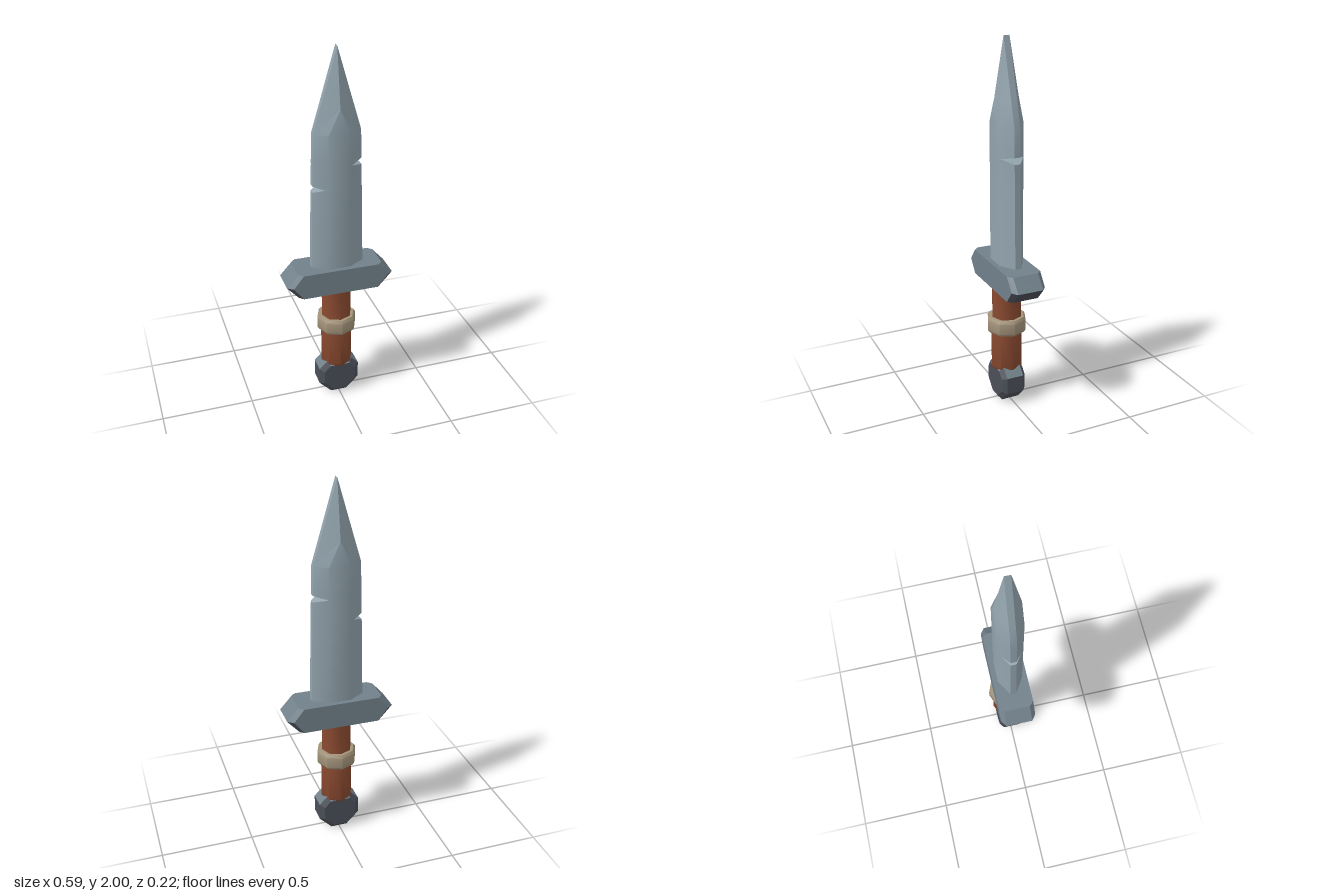
import * as THREE from 'three';
import { toCreasedNormals } from 'three/addons/utils/BufferGeometryUtils.js';

const paint = (name, color) => {
  const m = new THREE.MeshStandardMaterial({ color });
  m.name = name;
  return m;
};

// Skins a list of closed loops and caps both ends. Faces whose normal passes
// isSecond(normal) go to the second material group.
function loft(loops, isSecond = () => false, crease = 0.7) {
  const lists = [[], []];
  const tri = new THREE.Triangle();
  const normal = new THREE.Vector3();
  const add = (a, b, c) => {
    tri.set(a, b, c);
    if (tri.getArea() < 1e-8) return;
    tri.getNormal(normal);
    const list = lists[isSecond(normal) ? 1 : 0];
    for (const p of [a, b, c]) list.push(p.x, p.y, p.z);
  };
  const n = loops[0].length;
  for (let i = 0; i < loops.length - 1; i++) {
    for (let j = 0; j < n; j++) {
      const k = (j + 1) % n;
      const [a, b, c, d] = [loops[i][j], loops[i][k], loops[i + 1][k], loops[i + 1][j]];
      add(a, b, c);
      add(a, c, d);
    }
  }
  const first = loops[0], last = loops[loops.length - 1];
  for (let j = 1; j < n - 1; j++) {
    add(first[0], first[j + 1], first[j]);
    add(last[0], last[j], last[j + 1]);
  }
  const geo = new THREE.BufferGeometry();
  geo.setAttribute('position', new THREE.Float32BufferAttribute(lists.flat(), 3));
  const count = lists[0].length / 3;
  geo.addGroup(0, count, 0);
  geo.addGroup(count, lists[1].length / 3, 1);
  return toCreasedNormals(geo, crease);
}

// Outline in x and y given at several depths along z
const outlineAt = (points, z) => points.map(([x, y]) => new THREE.Vector3(x, y, z));

// Blade cross-section: flat middle, bevels and narrow edges; notches pull an edge inwards
function bladeLoop({ y, w, f = 0.06, t = 0.067, e = 0.016, left = w, right = w }) {
  const depth = (x) => (w > f ? t - ((x - f) / (w - f)) * (t - e) : t);
  const zl = depth(left), zr = depth(right);
  return [
    [f, t], [right, zr], [right, -zr], [f, -t],
    [-f, -t], [-left, -zl], [-left, zl], [-f, t],
  ].map(([x, z]) => new THREE.Vector3(x, y, z));
}

// Eight-sided turned part
const turned = (profile) => toCreasedNormals(
  new THREE.LatheGeometry(profile.map(([r, y]) => new THREE.Vector2(r, y)), 8), 0.82);

export function createModel() {
  const bladeSteel = paint('blade steel', 0x93a4ae);
  const guardSteel = paint('guard steel', 0x71808a);
  const darkIron = paint('dark iron', 0x4b4f58);
  const leather = paint('brown leather', 0x8a4a30);
  const band = paint('tan band', 0xa3937a);

  const model = new THREE.Group();
  model.name = 'dagger';
  const add = (name, geometry, material) => {
    const mesh = new THREE.Mesh(geometry, material);
    mesh.name = name;
    model.add(mesh);
  };

  // Blade with a chipped notch in each edge and a ridged point
  add('blade', loft([
    { y: 0.76, w: 0.144 },
    { y: 1.255, w: 0.133 },
    { y: 1.275, w: 0.132, left: 0.08 },
    { y: 1.29, w: 0.132 },
    { y: 1.38, w: 0.13 },
    { y: 1.4, w: 0.129, right: 0.064 },
    { y: 1.415, w: 0.129 },
    { y: 1.57, w: 0.125 },
    { y: 1.7, w: 0.087, f: 0 },
    { y: 2, w: 0, f: 0, t: 0.016 },
  ].map(bladeLoop)), [bladeSteel, bladeSteel]);

  // Crossguard: long hexagon with chamfered ends and a darker underside
  const hexagon = (tip, flat) => [
    [tip, 0.75], [flat, 0.82], [-flat, 0.82], [-tip, 0.75], [-flat, 0.68], [flat, 0.68],
  ];
  const inner = hexagon(0.262, 0.207), outer = hexagon(0.294, 0.231);
  add('crossguard', loft([
    outlineAt(inner, -0.095), outlineAt(outer, -0.071),
    outlineAt(outer, 0.071), outlineAt(inner, 0.095),
  ], (n) => n.y < -0.3, 0.3), [guardSteel, darkIron]);

  // Grip, tapering into the pommel
  add('grip', turned([
    [0.045, 0.14], [0.088, 0.2], [0.088, 0.41], [0.083, 0.5], [0.083, 0.7],
  ]), leather);

  // Band around the grip
  add('gripBand', turned([
    [0.08, 0.41], [0.1, 0.41], [0.11, 0.425], [0.11, 0.485], [0.1, 0.5], [0.08, 0.5],
  ]), band);

  // Pommel: chamfered octagon with lighter upper slopes
  const octagon = [
    [0.114, 0.07], [0.114, 0.165], [0.07, 0.21], [-0.07, 0.21],
    [-0.114, 0.165], [-0.114, 0.07], [-0.045, 0], [0.045, 0],
  ];
  const face = octagon.map(([x, y]) => [x * 0.78, 0.112 + (y - 0.112) * 0.78]);
  add('pommel', loft([
    outlineAt(face, -0.07), outlineAt(octagon, -0.048),
    outlineAt(octagon, 0.048), outlineAt(face, 0.07),
  ], (n) => n.y > 0.65, 0.3), [darkIron, guardSteel]);

  return model;
}
